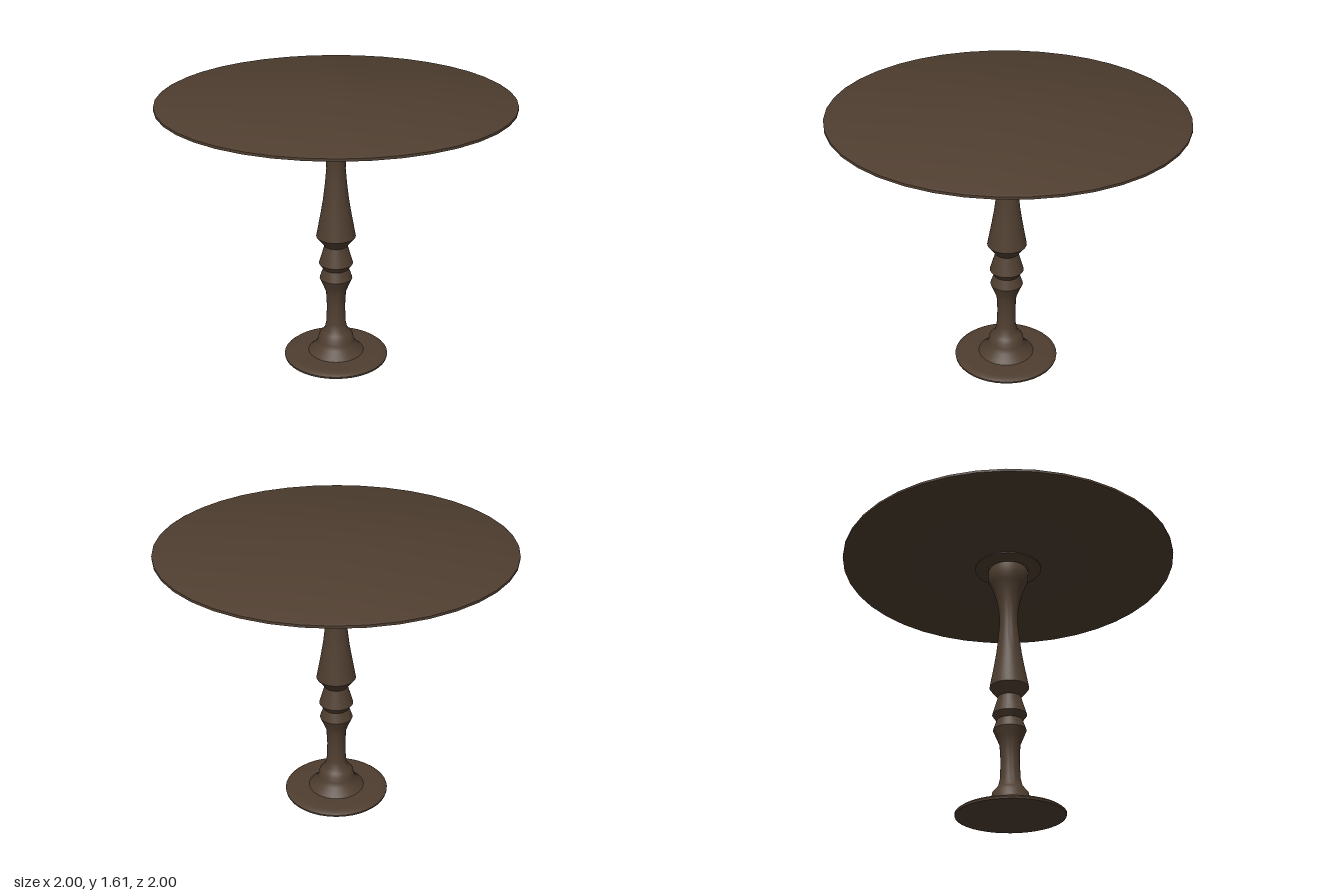
import * as THREE from 'three';
import { toCreasedNormals } from 'three/addons/utils/BufferGeometryUtils.js';

const wood = new THREE.MeshStandardMaterial({ color: 0x4f3e30 });
wood.name = 'dark wood';

// Turned part from [radius, height] pairs, bottom to top
function turned(name, profile, segments = 40) {
  const points = profile.map(([r, y]) => new THREE.Vector2(r, y));
  // start at +x so the polygon corners sit on the axes
  const geometry = new THREE.LatheGeometry(points, segments);
  const mesh = new THREE.Mesh(toCreasedNormals(geometry, 0.7), wood);
  mesh.name = name;
  return mesh;
}

export function createModel() {
  const table = new THREE.Group();
  table.name = 'pedestalTable';

  // Everything leans back very slightly, as one piece
  const body = new THREE.Group();
  body.name = 'tableBody';
  body.rotation.x = -0.009;
  body.position.set(0, 0.003, 0.015);
  table.add(body);

  // Thin round top with a softened rim
  body.add(turned('tableTop', [
    [0, 1.573], [0.985, 1.573], [0.998, 1.577], [0.998, 1.591], [0.985, 1.598], [0, 1.598],
  ]));

  // Mounting plate under the top
  body.add(turned('mountingPlate', [
    [0, 1.56], [0.15, 1.56], [0.165, 1.565], [0.2, 1.567], [0.2, 1.574],
  ]));

  // Turned column with vase, rings and neck
  body.add(turned('column', [
    [0.17, 0.026], [0.15, 0.045], [0.12, 0.075], [0.108, 0.1], [0.102, 0.135], [0.085, 0.155],
    [0.068, 0.175], [0.058, 0.22], [0.054, 0.32], [0.059, 0.42], [0.075, 0.46], [0.096, 0.51],
    [0.075, 0.57], [0.1, 0.605], [0.067, 0.715], [0.115, 0.775], [0.105, 0.83], [0.09, 0.91],
    [0.075, 1.0], [0.063, 1.1], [0.055, 1.19], [0.057, 1.27], [0.068, 1.34], [0.085, 1.405],
    [0.105, 1.455], [0.12, 1.49], [0.12, 1.55], [0.112, 1.562],
  ]));

  // Flat round foot
  body.add(turned('foot', [
    [0, 0], [0.308, 0], [0.31, 0.012], [0.295, 0.024], [0.27, 0.027], [0.17, 0.03], [0, 0.03],
  ]));

  return table;
}
